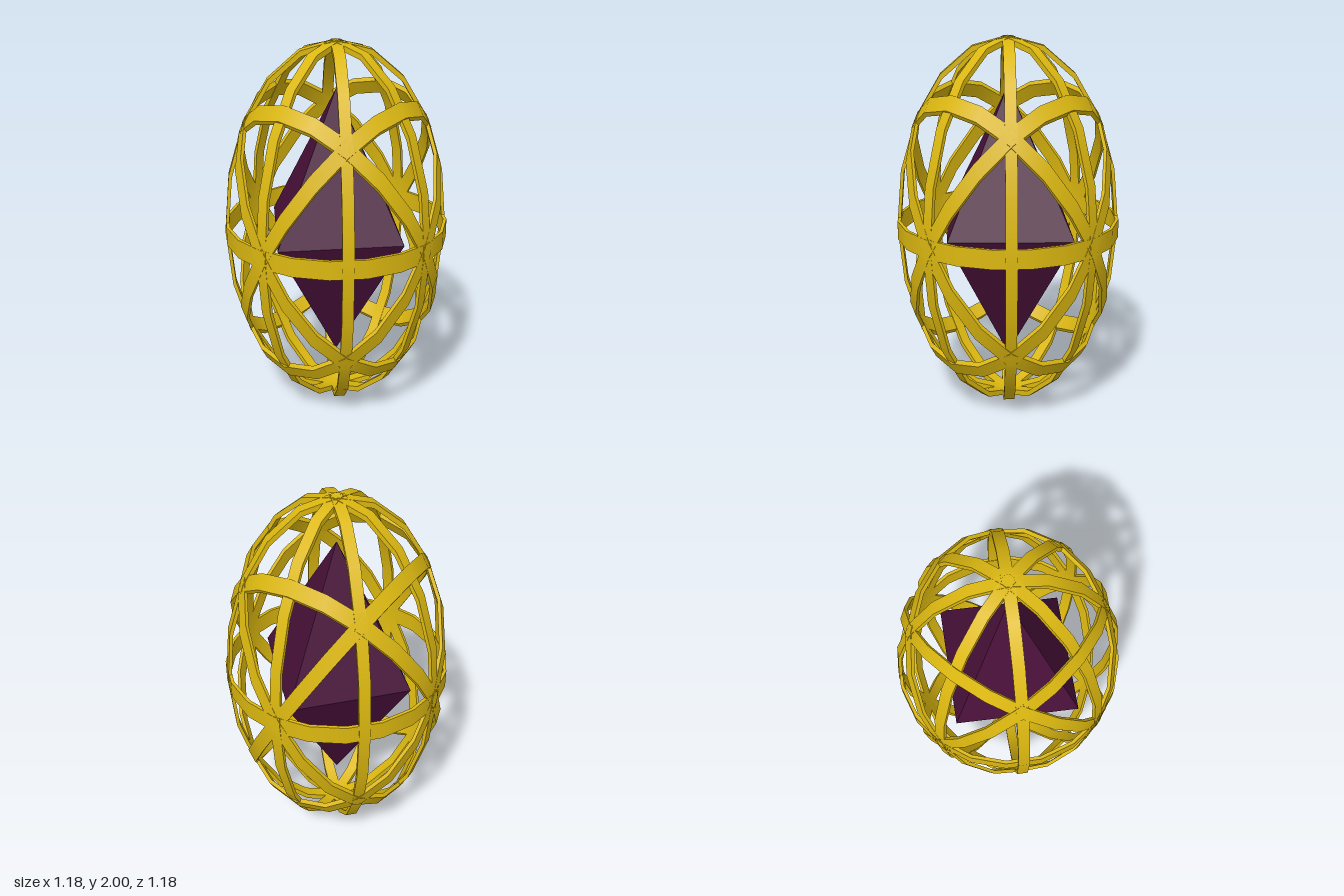
import * as THREE from 'three';

export function createModel() {
  const model = new THREE.Group();
  const gold = new THREE.MeshStandardMaterial({ color: 0xdcb810 });
  gold.name = 'gold';
  const plum = new THREE.MeshStandardMaterial({ color: 0x481039, flatShading: true });
  plum.name = 'plum';

  // Flat band section; doubled corners keep its edges sharp in the lathe
  const outer = 1, inner = 0.97, half = 0.05;
  const corners = [[outer, -half], [outer, half], [inner, half], [inner, -half]];
  const profile = [];
  for (let i = 0; i < 4; i++) {
    profile.push(new THREE.Vector2(...corners[i]), new THREE.Vector2(...corners[(i + 1) % 4]));
  }

  // Hoops are turned first, then squeezed into an egg shape
  const cage = new THREE.Group();
  cage.name = 'cage';
  model.add(cage);
  function addHoop(name, rx, ry, rz) {
    const geometry = new THREE.LatheGeometry(profile, 20);
    const turn = new THREE.Euler(rx, ry, rz, 'YXZ');
    geometry.applyMatrix4(new THREE.Matrix4().makeRotationFromEuler(turn));
    geometry.scale(0.59, 1, 0.59);
    const hoop = new THREE.Mesh(geometry, gold);
    hoop.name = name;
    hoop.position.y = 1;
    cage.add(hoop);
  }

  const eighth = Math.PI / 4;
  addHoop('equatorHoop', 0, 0, 0);
  for (let i = 0; i < 4; i++) addHoop('uprightHoop' + (i + 1), Math.PI / 2, i * eighth, 0);
  for (const side of [-1, 1]) {
    const end = side < 0 ? 'A' : 'B';
    addHoop('frontTiltedHoop' + end, side * eighth, 0, 0);
    addHoop('sideTiltedHoop' + end, 0, 0, side * eighth);
  }

  // Eight-sided gem held inside the cage
  const gem = new THREE.Mesh(new THREE.OctahedronGeometry(1, 0), plum);
  gem.name = 'gem';
  gem.scale.set(0.45, 0.75, 0.465);
  gem.position.y = 1;
  model.add(gem);

  return model;
}
